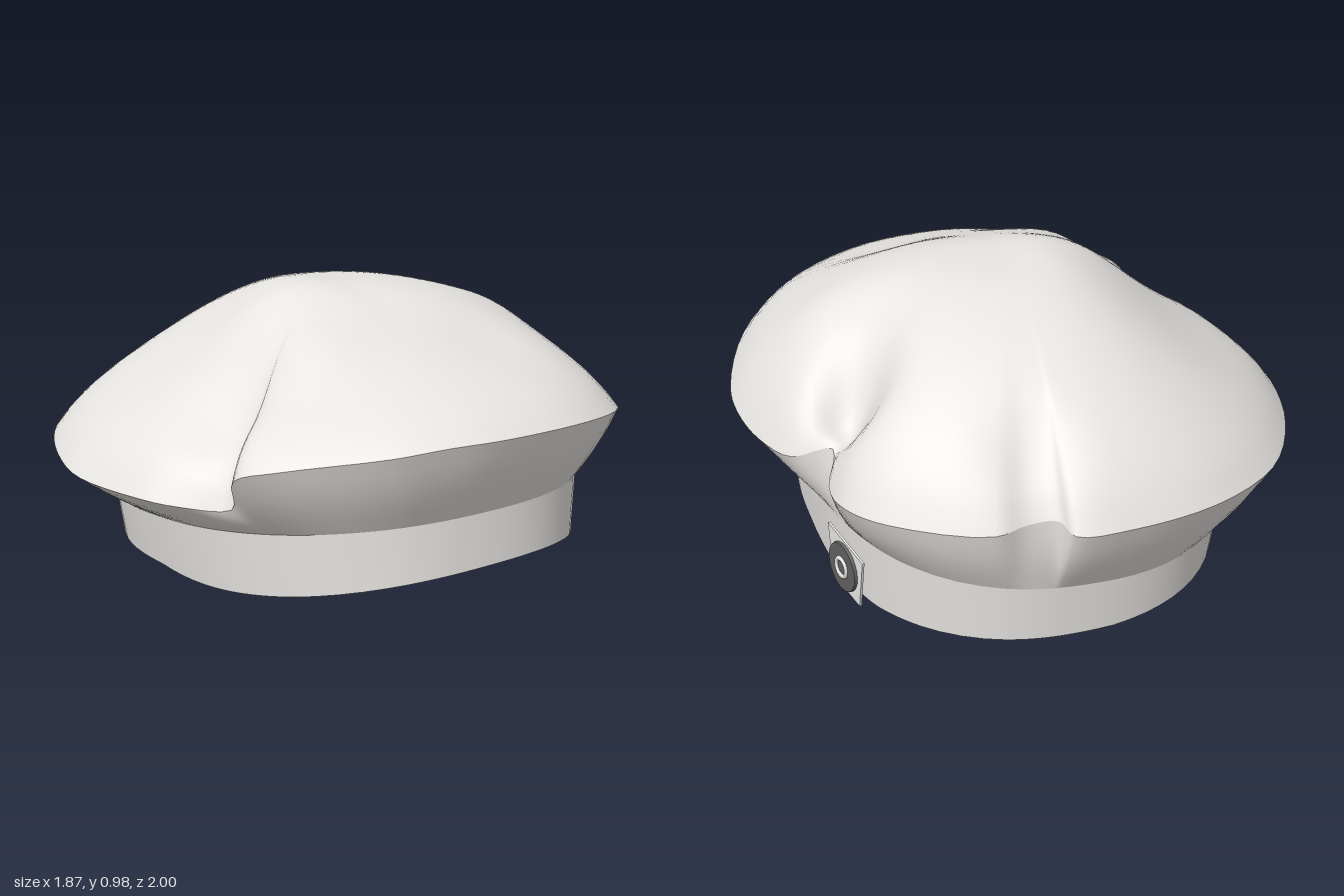
import * as THREE from 'three';

// Fold line of the crown: x, y, z going round from the front by the model's left
const RIM = [
  [0, .635, 1], [.31, .63, .95], [.6, .6, .79], [.8, .555, .55], [.92, .505, .23],
  [.93, .485, .07], [.9, .475, -.12], [.83, .48, -.28], [.71, .52, -.345], [.75, .435, -.43],
  [.74, .44, -.59], [.64, .44, -.73], [.36, .44, -.9], [.25, .45, -.885], [.16, .46, -.91],
  [.13, .44, -.98], [-.05, .44, -1], [-.35, .44, -.95], [-.63, .43, -.78], [-.81, .43, -.52],
  [-.92, .42, -.2], [-.94, .41, 0], [-.88, .41, .29], [-.8, .4, .41], [-.67, .4, .53],
  [-.71, .52, .62], [-.62, .56, .73], [-.35, .61, .93], [-.18, .63, .98],
];

// Hollows and (with negative depth) swells in the cloth: x, z, radius, depth
const DENTS = [
  [.65, -.32, .12, .2], [.54, -.16, .13, .04], [-.58, .36, .15, .06],
  [.22, -.82, .13, .06], [.3, .5, .16, .02],
  [-.3, .02, .2, -.05], [-.33, .4, .18, -.04], [.66, .02, .18, -.03],
];

const { lerp } = THREE.MathUtils;

// Skin a closed ring of columns; at(column, row) gives each point, rows run downwards
function skin(name, columns, rows, at, material) {
  const positions = [], index = [], n = columns.length;
  for (let r = 0; r <= rows; r++) {
    for (const c of columns) positions.push(...at(c, r / rows));
  }
  for (let r = 0; r < rows; r++) {
    for (let i = 0; i < n; i++) {
      const a = r * n + i, d = r * n + (i + 1) % n;
      index.push(a, a + n, d + n, a, d + n, d);
    }
  }
  const g = new THREE.BufferGeometry();
  g.setAttribute('position', new THREE.Float32BufferAttribute(positions, 3));
  g.setIndex(index);
  g.computeVertexNormals();
  const mesh = new THREE.Mesh(g, material);
  mesh.name = name;
  return mesh;
}

// Point on the slightly squared head band, v = 0 at its lower edge and 1 at its upper edge
function bandPoint({ sin, cos }, v) {
  const k = Math.pow(Math.abs(sin) ** 2.35 + Math.abs(cos) ** 2.35, -1 / 2.35);
  const x = .03 + (.685 + .025 * v) * k * sin;
  const z = .015 + .87 * k * cos;
  const slope = z > 0 ? .03 * z + .13 * z * z : .12 * z + .04 * z * z;
  const low = Math.max(0, .07 + slope + .06 * x * cos);
  const high = .275 + .11 * z + .045 * x;
  return [x, lerp(low, high, v), z - .01 * v];
}

// Domed top, slacker on the front and right than on the back and left
function crownPoint({ sin, cos, rim }, t) {
  const bend = t ** 3;
  const x = t * lerp(.93 * sin, rim.x, bend);
  const z = t * lerp(.99 * cos, rim.z, bend);
  const evenRim = .455 + .1 * cos + .085 * cos * cos + .035 * sin;
  const p = (cos > 0 ? 1.38 : 2.4) * cos * cos + (sin > 0 ? 2.9 : 1.4) * sin * sin
    + 1.2 * t ** 6 + .9 * (1 - t) ** 6;
  let y = .97 + (lerp(evenRim, rim.y, bend) - .97) * Math.pow(t, p);
  for (const [dx, dz, radius, depth] of DENTS) {
    const d2 = ((x - dx) ** 2 + (z - dz) ** 2) / (radius * radius);
    y -= depth * Math.exp(-d2) * (1 - t ** 8);
  }
  return [x, y, z];
}

// Slightly full underside of the crown, from the fold line in to the band
function undersidePoint(c, v) {
  const b = bandPoint(c, 1), r = c.rim;
  const swell = .012 * Math.sin(Math.PI * v);
  return [
    lerp(r.x, b[0], v) + swell * c.sin,
    lerp(r.y, b[1], v),
    lerp(r.z, b[2], v) + swell * c.cos,
  ];
}

export function createModel() {
  const cloth = new THREE.MeshStandardMaterial({ color: 0xe9e7e4, side: THREE.DoubleSide });
  cloth.name = 'pale cloth';
  const dark = new THREE.MeshStandardMaterial({ color: 0x606060 });
  dark.name = 'dark button';

  const model = new THREE.Group();
  model.name = 'softCap';

  const curve = new THREE.CatmullRomCurve3(RIM.map(p => new THREE.Vector3(...p)), true, 'centripetal');
  const count = RIM.length * 4;
  const columns = [];
  for (let i = 0; i < count; i++) {
    const rim = curve.getPoint(i / count);
    const angle = Math.atan2(rim.x / .93, rim.z);
    columns.push({ rim, sin: Math.sin(angle), cos: Math.cos(angle) });
  }

  model.add(
    skin('crown', columns, 28, crownPoint, cloth),
    skin('crownUnderside', columns, 5, undersidePoint, cloth),
    skin('headBand', columns, 2, (c, v) => bandPoint(c, 1 - v), cloth),
  );

  // Strap end with its button, on the model's left
  const strap = new THREE.Group();
  strap.name = 'buttonStrap';
  strap.position.set(.7, .125, -.415);
  strap.rotation.y = Math.PI / 2 + .25;
  const add = (name, geometry, material, z) => {
    const m = new THREE.Mesh(geometry, material);
    m.name = name;
    m.position.z = z;
    strap.add(m);
  };
  const outline = new THREE.Shape([[-.1, .115], [.12, .07], [.09, -.105], [-.08, -.075]]
    .map(p => new THREE.Vector2(...p)));
  add('strapEnd', new THREE.ExtrudeGeometry(outline, { depth: .008, bevelEnabled: false }), cloth, 0);
  add('button', new THREE.CylinderGeometry(.084, .086, .01, 24).rotateX(Math.PI / 2), dark, .014);
  add('buttonRing', new THREE.TorusGeometry(.032, .008, 8, 24), cloth, .019);
  model.add(strap);
  return model;
}
